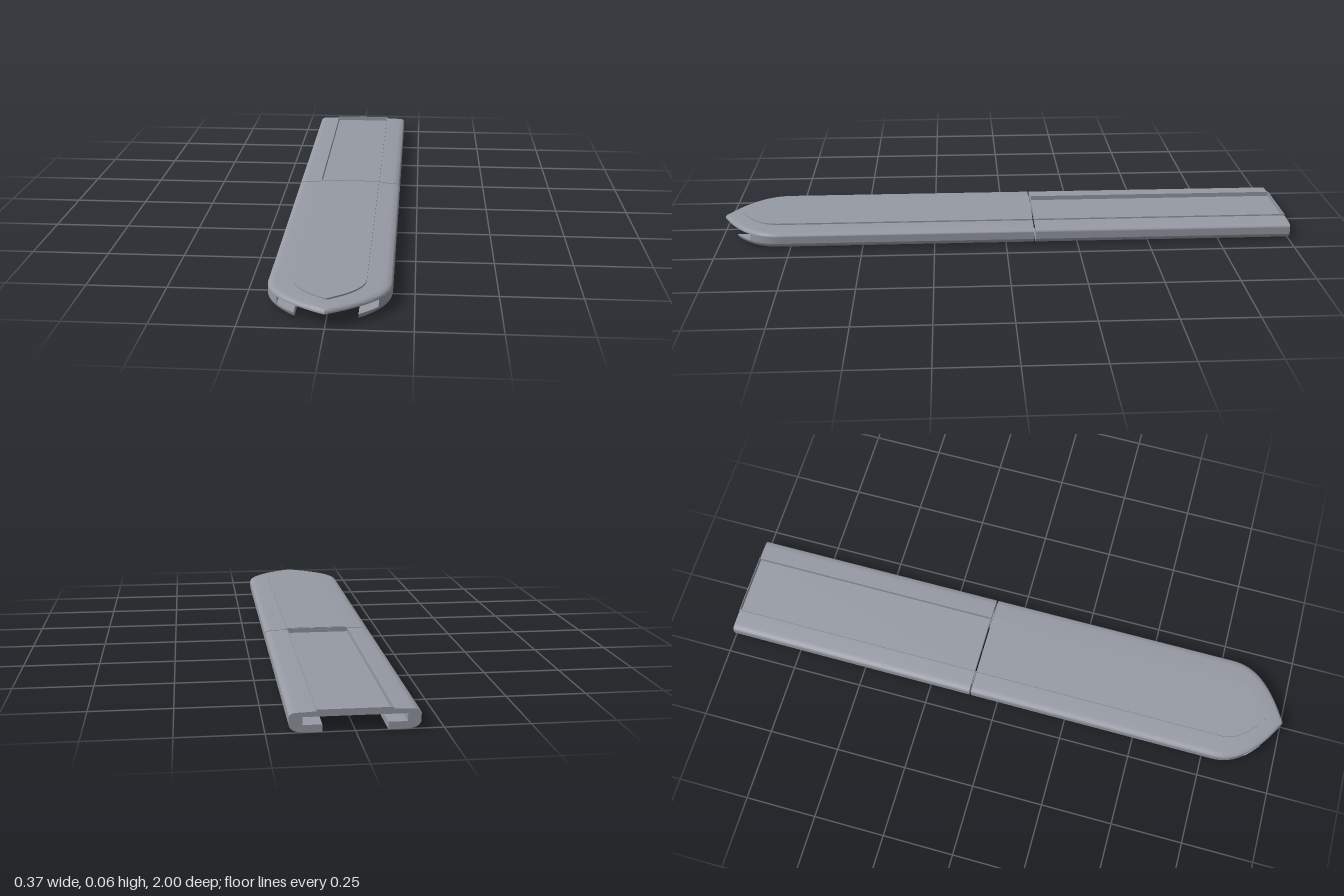
import * as THREE from 'three';
import { toCreasedNormals } from 'three/addons/utils/BufferGeometryUtils.js';

const HALF = 0.185, SLOT = 0.092, CAVITY = 0.147, PANEL = 0.108;
const ROOF = 0.045, LIP = 0.022, CREST = 0.065, FLOOR = 0.049;

// Rounded edge profiles: [inset from the plan outline, height]
const TOP = [[0, 0.047], [0.002, 0.051], [0.006, 0.0545], [0.013, 0.057], [0.024, 0.058], [0.077, 0.06], [0.185, 0.061]];
const BOTTOM = [[0, 0.022], [0.002, 0.016], [0.007, 0.01], [0.015, 0.005], [0.027, 0.0015], [0.042, 0], [0.093, 0]];

// Height of a profile at inset d
function heightAt(profile, d) {
  for (let i = 1; i < profile.length; i++) {
    const [d0, y0] = profile[i - 1], [d1, y1] = profile[i];
    if (d <= d1) return y0 + (y1 - y0) * (d - d0) / (d1 - d0);
  }
  return profile[profile.length - 1][1];
}

// Plan half width: straight, then curving in to a point
const taper = (half, start, end) => z =>
  z <= start ? half : half * (1 - Math.pow((z - start) / (end - start), 2.3));
const outline = taper(HALF, 0.78, 1);
const panelOutline = taper(PANEL, 0.79, 0.936);

// Stations along z, closer together over the curved nose
function stations(z0, z1, curveStart) {
  if (z1 <= curveStart) return [z0, z1];
  const zs = [z0];
  for (let i = 0; i <= 20; i++) zs.push(curveStart + (z1 - curveStart) * Math.sin(i / 20 * Math.PI / 2));
  return zs;
}

// Solid through counterclockwise convex sections, closed at both ends
function loft(zs, section) {
  const loops = zs.map(section), n = loops[0].length, pos = [], idx = [];
  loops.forEach((loop, k) => loop.forEach(([x, y]) => pos.push(x, y, zs[k])));
  for (let k = 0; k < zs.length - 1; k++) {
    for (let i = 0; i < n; i++) {
      const a = k * n + i, b = k * n + (i + 1) % n;
      idx.push(a, b, b + n, a, b + n, a + n);
    }
  }
  const last = (zs.length - 1) * n;
  for (let i = 1; i < n - 1; i++) idx.push(0, i + 1, i, last, last + i, last + i + 1);
  const geometry = new THREE.BufferGeometry();
  geometry.setAttribute('position', new THREE.Float32BufferAttribute(pos, 3));
  geometry.setIndex(idx);
  return toCreasedNormals(geometry, 0.6);
}

const mirror = loop => loop.map(([x, y]) => [-x, y]).reverse();
const SIDES = [['left', loop => loop], ['right', mirror]];
const rectangle = (x0, x1, y0, y1) => [[x0, y0], [x1, y0], [x1, y1], [x0, y1]];

// Full-width cover with rounded upper rim
function coverSection(z) {
  const w = outline(z);
  const right = TOP.map(([d]) => {
    const inset = Math.min(d, w);
    return [w - inset, heightAt(TOP, inset)];
  });
  const half = [[w, ROOF], ...right];
  return [...half, ...mirror(half.slice(0, -1))];
}

// Cover edge beside the recessed panel
function coverEdgeSection() {
  const upper = TOP.filter(([d]) => d <= HALF - PANEL).map(([d, y]) => [HALF - d, y]);
  return [[PANEL, ROOF], [HALF, ROOF], ...upper];
}

// Side wall between the cover and the lip
const wallSection = z => rectangle(CAVITY, Math.max(outline(z), CAVITY), LIP, ROOF + 0.002);

// Inward lip with rounded lower edge
function lipSection(z) {
  const w = Math.max(outline(z), SLOT);
  const under = BOTTOM.map(([d]) => {
    const inset = Math.min(d, w - SLOT);
    return [w - inset, heightAt(BOTTOM, inset)];
  }).reverse();
  return [[SLOT, LIP], ...under];
}

// Raised panel on the front cover
function panelSection(z) {
  const w = panelOutline(z);
  return rectangle(-w, w, 0.055, CREST);
}

// z at which the outline has narrowed to half width x
const zAtWidth = x => 0.78 + 0.22 * Math.pow(1 - x / HALF, 1 / 2.3);

export function createModel() {
  const model = new THREE.Group();
  const material = new THREE.MeshStandardMaterial({ color: 0x969aa3 });

  function addPart(group, name, zs, section) {
    const mesh = new THREE.Mesh(loft(zs, section), material);
    mesh.name = name;
    group.add(mesh);
  }

  // C-shaped rail: a wall and a lip on each side
  function buildRail(name, z0, z1) {
    const group = new THREE.Group();
    group.name = name;
    const reach = end => stations(z0, Math.min(z1, end), 0.78);
    for (const [side, flip] of SIDES) {
      addPart(group, side + 'Wall', reach(zAtWidth(CAVITY)), z => flip(wallSection(z)));
      addPart(group, side + 'Lip', reach(zAtWidth(SLOT)), z => flip(lipSection(z)));
    }
    model.add(group);
    return group;
  }

  // Rear: recessed panel inside a thin raised rim
  const back = -1, joint = -0.103, rim = 0.002;
  const rear = buildRail('rearSection', back, joint);
  for (const [side, flip] of SIDES) {
    addPart(rear, side + 'CoverEdge', [back, joint], () => flip(coverEdgeSection()));
    addPart(rear, side + 'PanelRim', [back, joint], () => flip(rectangle(PANEL - rim, PANEL, ROOF, CREST)));
  }
  addPart(rear, 'recessedPanel', [back, joint], () => rectangle(-PANEL, PANEL, ROOF, FLOOR));
  for (const [name, z] of [['backPanelRim', back], ['frontPanelRim', joint - rim]]) {
    addPart(rear, name, [z, z + rim], () => rectangle(-PANEL, PANEL, ROOF, CREST));
  }

  // Front: pointed cover with a raised panel
  const front = buildRail('frontSection', -0.097, 1);
  addPart(front, 'coverPlate', stations(-0.097, 0.9995, 0.78), coverSection);
  addPart(front, 'raisedPanel', stations(-0.097, 0.9355, 0.79), panelSection);
  return model;
}
